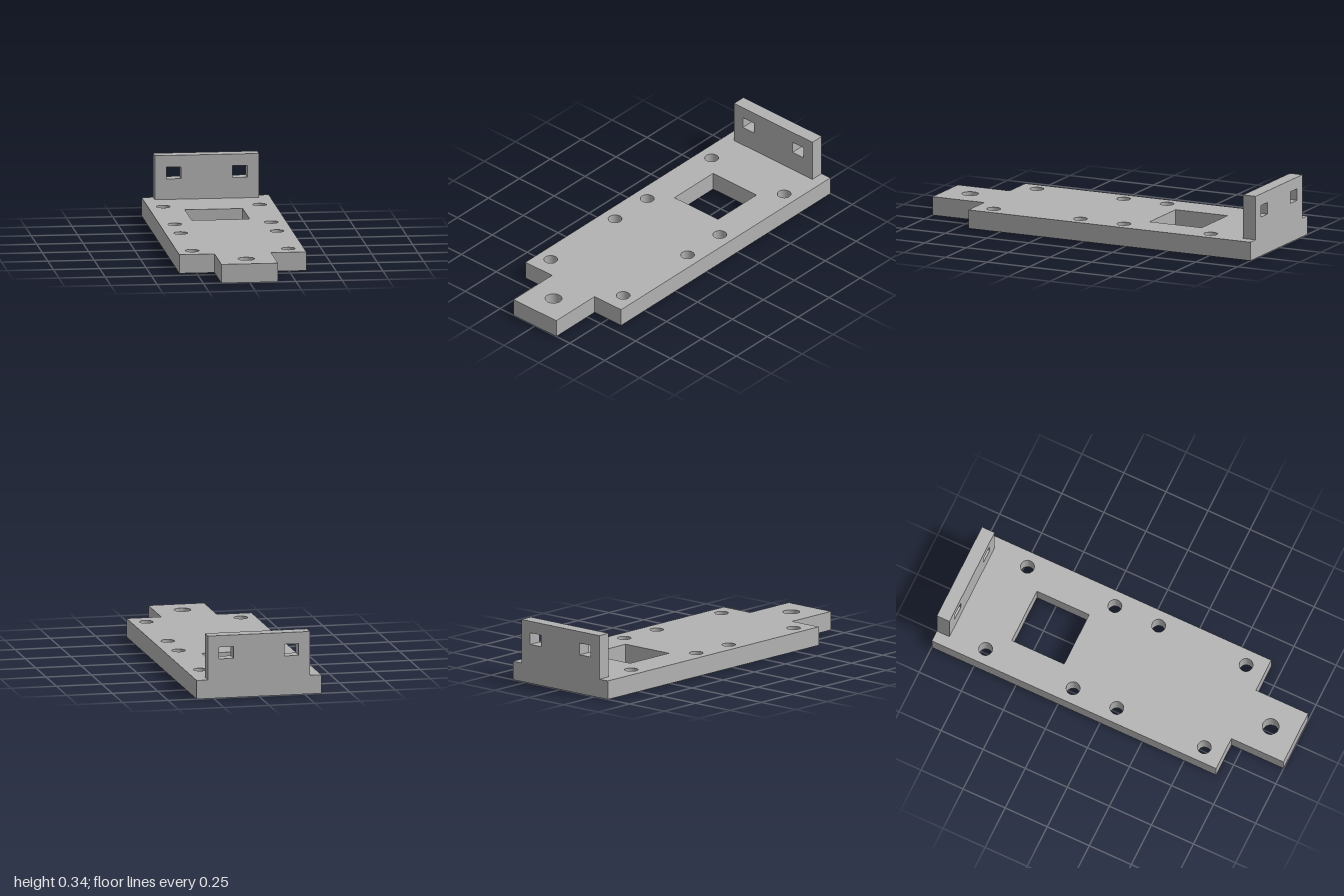
import * as THREE from 'three';
import { toCreasedNormals } from 'three/addons/utils/BufferGeometryUtils.js';

const plateHeight = 0.102;
const wallTop = 0.342;
const wallDepth = 0.075;

// Closed outline from corner points
const outline = (points, Type = THREE.Path) =>
  new Type(points.map(([x, y]) => new THREE.Vector2(x, y)));

const rect = (x0, y0, x1, y1, Type) =>
  outline([[x0, y0], [x1, y0], [x1, y1], [x0, y1]], Type);

const roundHole = (x, y, r) => new THREE.Path().absarc(x, y, r, 0, Math.PI * 2, true);

const extrude = (shape, depth) => toCreasedNormals(
  new THREE.ExtrudeGeometry(shape, { depth, bevelEnabled: false, curveSegments: 16 }), 0.6);

export function createModel() {
  const model = new THREE.Group();
  model.name = 'mountingBracket';
  const grey = new THREE.MeshStandardMaterial({ color: 0xb2b2b2 });
  grey.name = 'grey';

  // Base plate with a narrow front tab, drawn flat with shape y = -z
  const plate = outline([
    [-0.343, 1], [-0.343, -0.69], [-0.153, -0.69], [-0.153, -1],
    [0.153, -1], [0.153, -0.69], [0.343, -0.69], [0.343, 1],
  ], THREE.Shape);
  plate.holes.push(rect(-0.156, 0.303, 0.156, 0.614));
  for (const z of [-0.72, -0.2, 0.06, 0.58]) {
    for (const x of [-0.26, 0.26]) plate.holes.push(roundHole(x, -z, 0.037));
  }
  plate.holes.push(roundHole(0, -0.85, 0.045));
  const basePlate = new THREE.Mesh(extrude(plate, plateHeight).rotateX(-Math.PI / 2), grey);
  basePlate.name = 'basePlate';
  model.add(basePlate);

  // Upright rear wall with two rectangular slots
  const wall = rect(-0.281, plateHeight, 0.281, wallTop, THREE.Shape);
  for (const x of [-0.179, 0.179]) {
    wall.holes.push(rect(x - 0.0395, 0.214, x + 0.0395, 0.278));
  }
  const rearWall = new THREE.Mesh(extrude(wall, wallDepth), grey);
  rearWall.name = 'rearWall';
  rearWall.position.z = -1;
  model.add(rearWall);

  return model;
}
